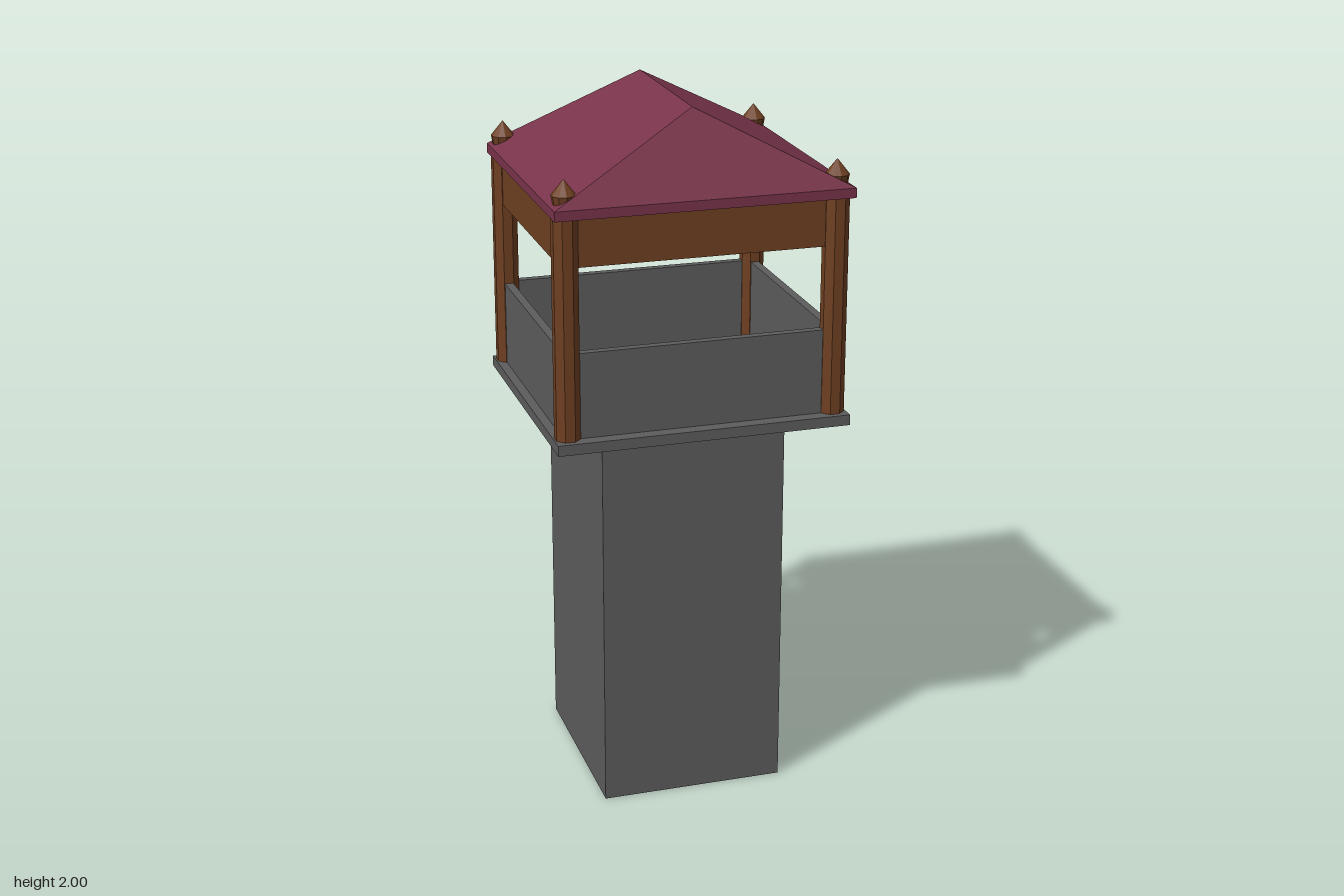
import * as THREE from 'three';

const material = (color) => new THREE.MeshStandardMaterial({ color, flatShading: true });

export function createModel() {
  const model = new THREE.Group();
  const stone = material(0x5c5c5c);
  const wood = material(0x6e3f22);
  const tile = material(0x78344a);

  const add = (name, geometry, mat, x, y, z) => {
    const mesh = new THREE.Mesh(geometry, mat);
    mesh.name = name;
    mesh.position.set(x, y, z);
    model.add(mesh);
    return mesh;
  };
  // Box given by its bottom and top heights
  const block = (name, mat, w, d, y0, y1, x = 0, z = 0) =>
    add(name, new THREE.BoxGeometry(w, y1 - y0, d), mat, x, (y0 + y1) / 2, z);

  // Shaft and lookout floor
  block('towerShaft', stone, 0.525, 0.58, 0, 1.117, -0.002, -0.008);
  block('platform', stone, 0.826, 0.774, 1.115, 1.145);

  // Posts with pointed finials that rise through the roof corners
  const postX = 0.375, frontZ = 0.337, backZ = -0.348;
  const postGeometry = new THREE.CylinderGeometry(0.036, 0.036, 0.63, 8);
  postGeometry.rotateY(Math.PI / 8);
  const finialGeometry = new THREE.LatheGeometry([
    new THREE.Vector2(0, 1.76),
    new THREE.Vector2(0.024, 1.76),
    new THREE.Vector2(0.034, 1.815),
    new THREE.Vector2(0, 1.857),
  ], 10);
  for (const x of [-postX, postX]) {
    for (const z of [frontZ, backZ]) {
      add('post', postGeometry, wood, x, 1.455, z);
      add('finial', finialGeometry, wood, x, 0, z);
    }
  }

  // Parapet walls and roof beams between the posts
  const midZ = (frontZ + backZ) / 2;
  const depth = frontZ - backZ;
  for (const [part, mat, y0, y1] of [['parapet', stone, 1.14, 1.385], ['beam', wood, 1.62, 1.76]]) {
    for (const z of [frontZ, backZ]) block(part, mat, 2 * postX, 0.024, y0, y1, 0, z);
    for (const x of [-postX, postX]) block(part, mat, 0.024, depth, y0, y1, x, midZ);
  }

  // Eave slab and hipped roof with its ridge running front to back
  block('eave', tile, 0.826, 0.774, 1.758, 1.785);
  const w = 0.413, d = 0.387, r = 0.245, h = 0.215;
  const hip = new THREE.BufferGeometry();
  hip.setAttribute('position', new THREE.Float32BufferAttribute([
    -w, 0, d, w, 0, d, w, 0, -d, -w, 0, -d, 0, h, r, 0, h, -r,
  ], 3));
  hip.setIndex([0, 1, 4, 1, 2, 5, 1, 5, 4, 2, 3, 5, 3, 0, 4, 3, 4, 5]);
  const roofGeometry = hip.toNonIndexed();
  roofGeometry.computeVertexNormals();
  add('roof', roofGeometry, tile, 0, 1.785, 0);

  return model;
}
